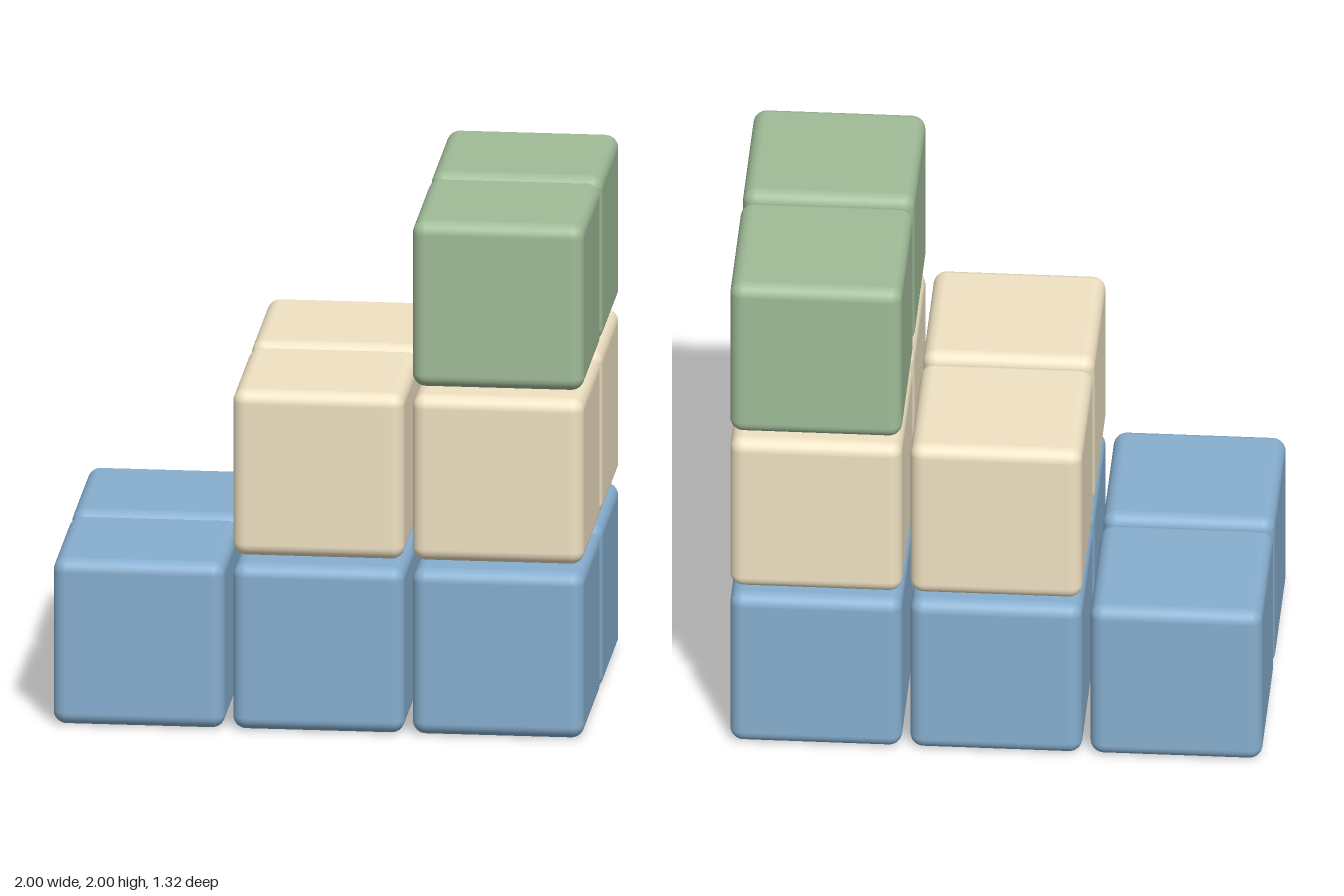
import * as THREE from 'three';
import { RoundedBoxGeometry } from 'three/addons/geometries/RoundedBoxGeometry.js';

const SIZE = 0.646;   // edge of one block
const PITCH = 0.677;  // block plus gap
const RADIUS = 0.05;  // rounded edges

export function createModel() {
  const model = new THREE.Group();
  model.name = 'blockStaircase';
  const block = new RoundedBoxGeometry(SIZE, SIZE, SIZE, 5, RADIUS);

  // One colour per layer, each layer one column shorter than the one below
  const layers = [
    { name: 'bottomLayer', color: 0x87afd0 },
    { name: 'middleLayer', color: 0xf0e2c3 },
    { name: 'topLayer', color: 0xa0bc98 },
  ];

  layers.forEach(({ name, color }, level) => {
    const layer = new THREE.Group();
    layer.name = name;
    layer.position.y = SIZE / 2 + level * PITCH;
    const material = new THREE.MeshStandardMaterial({ color });

    // Columns step up toward +x, two rows deep
    for (let column = level; column < 3; column++) {
      for (const side of [1, -1]) {
        const mesh = new THREE.Mesh(block, material);
        mesh.name = side > 0 ? 'frontBlock' : 'backBlock';
        mesh.position.set((column - 1) * PITCH, 0, side * PITCH / 2);
        layer.add(mesh);
      }
    }
    model.add(layer);
  });
  return model;
}
